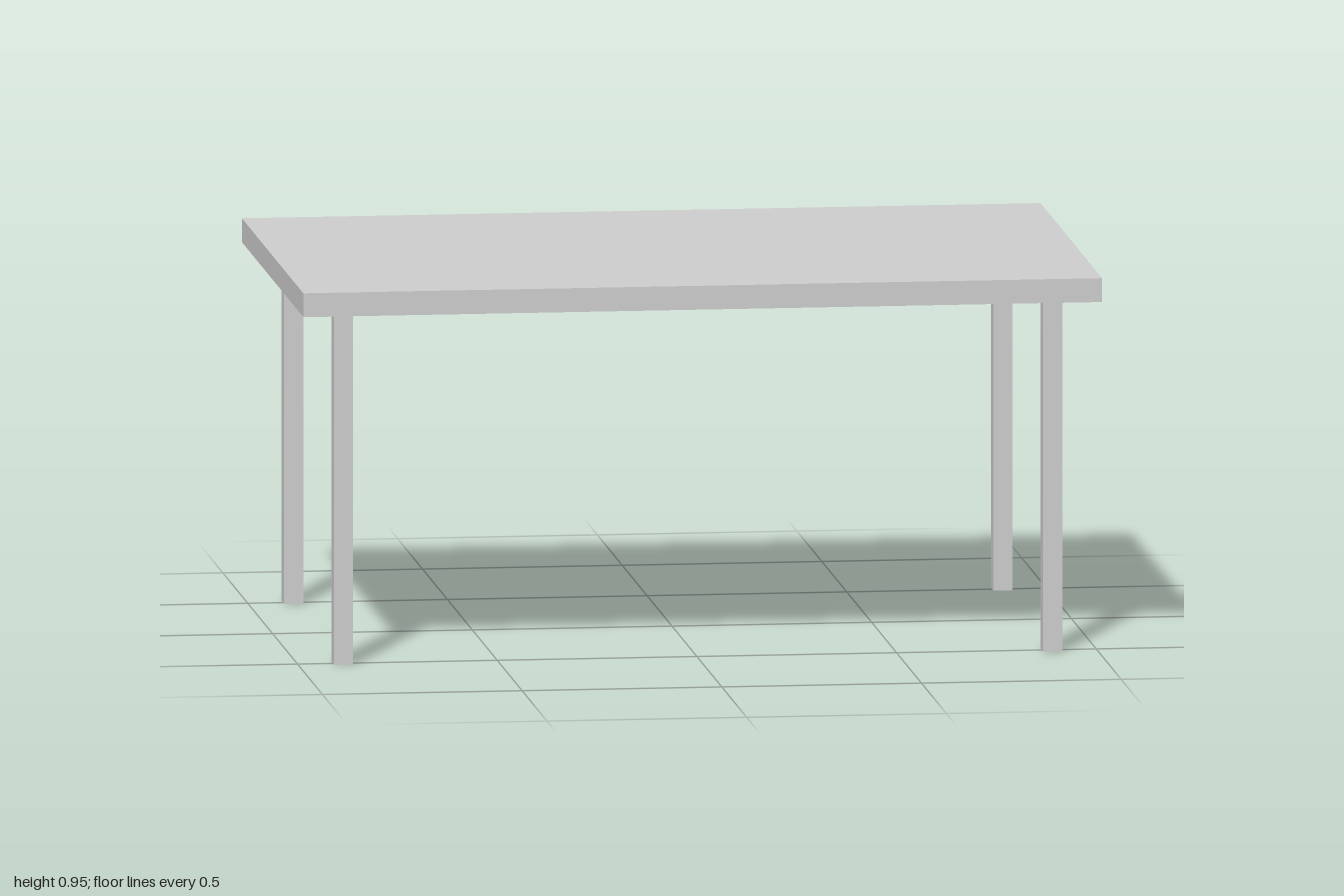
import * as THREE from 'three';

export function createModel() {
  const table = new THREE.Group();
  table.name = 'table';
  const material = new THREE.MeshStandardMaterial({ color: 0xcccccc, flatShading: true });

  const topHeight = 0.95, topThickness = 0.06, legWidth = 0.048;
  const legHeight = topHeight - topThickness;

  // Flat slab resting on the legs
  const top = new THREE.Mesh(new THREE.BoxGeometry(2, topThickness, 1.234), material);
  top.name = 'tabletop';
  top.position.y = topHeight - topThickness / 2;
  table.add(top);

  // Four square legs, inset from the corners
  const legGeometry = new THREE.BoxGeometry(legWidth, legHeight, legWidth);
  for (const [end, z] of [['front', 0.5], ['back', -0.5]]) {
    for (const [side, x] of [['Left', 0.888], ['Right', -0.888]]) {
      const leg = new THREE.Mesh(legGeometry, material);
      leg.name = `${end}${side}Leg`;
      leg.position.set(x, legHeight / 2, z);
      table.add(leg);
    }
  }
  return table;
}
